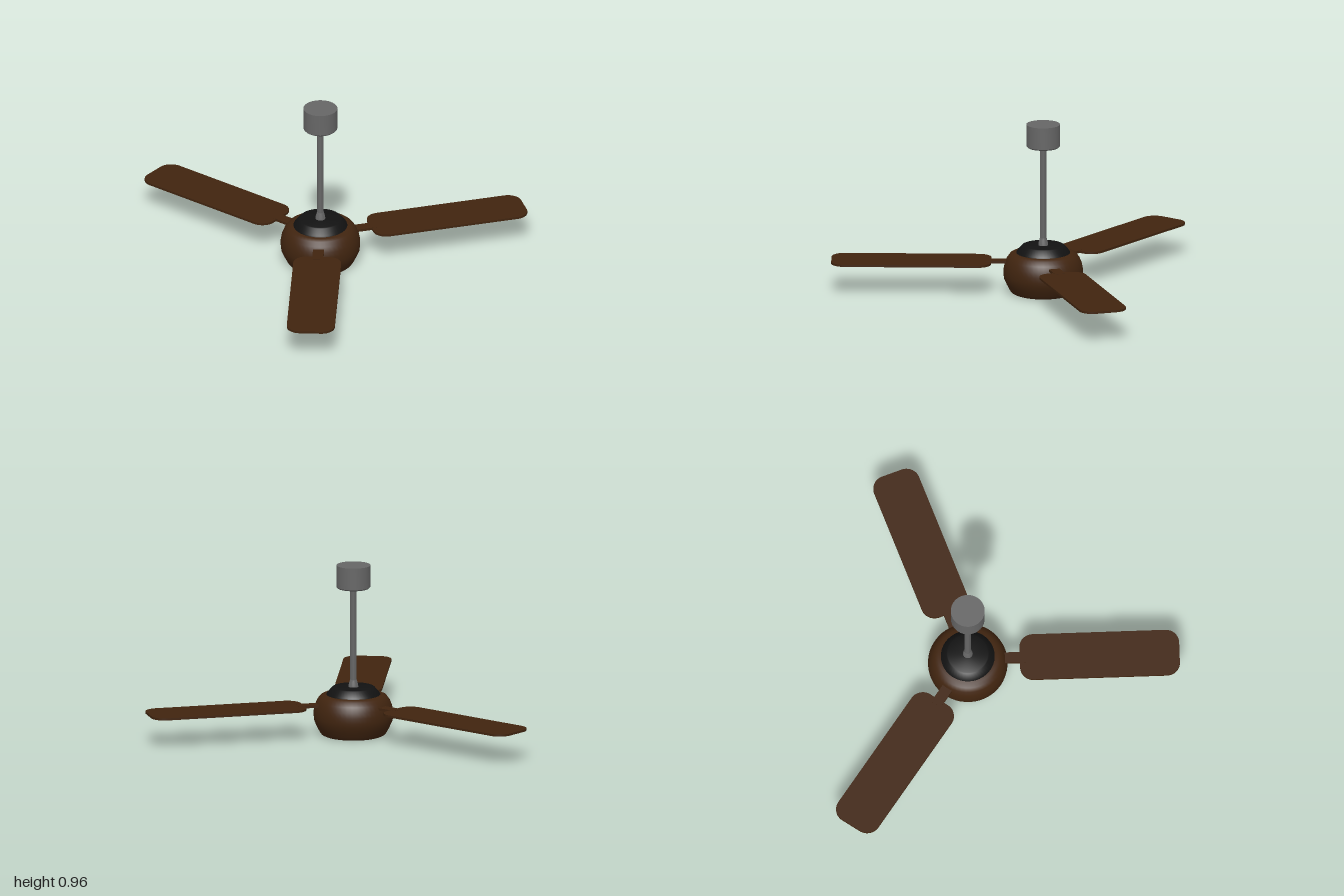
import * as THREE from 'three';
import { toCreasedNormals } from 'three/addons/utils/BufferGeometryUtils.js';

const HUB_Z = 0.203;
const BLADE_Y = 0.17;
const BLADE_THICKNESS = 0.012;

function material(name, color) {
  const m = new THREE.MeshStandardMaterial({ color });
  m.name = name;
  return m;
}

// Turned part from [radius, height] pairs, listed bottom to top
function turned(name, profile, mat, segments = 48) {
  const points = profile.map(([r, y]) => new THREE.Vector2(r, y));
  const geometry = toCreasedNormals(new THREE.LatheGeometry(points, segments), 0.6);
  const mesh = new THREE.Mesh(geometry, mat);
  mesh.name = name;
  return mesh;
}

// Flat rounded plank running along +x from inner to outer radius
function bladeGeometry(inner, outer, half, c) {
  const s = new THREE.Shape();
  s.moveTo(inner + c, -half);
  s.lineTo(outer - c, -half);
  s.absarc(outer - c, -half + c, c, -Math.PI / 2, 0);
  s.absarc(outer - c, half - c, c, 0, Math.PI / 2);
  s.absarc(inner + c, half - c, c, Math.PI / 2, Math.PI);
  s.absarc(inner + c, -half + c, c, Math.PI, Math.PI * 1.5);
  const g = new THREE.ExtrudeGeometry(s, { depth: BLADE_THICKNESS, bevelEnabled: false, curveSegments: 10 });
  g.rotateX(-Math.PI / 2);
  return toCreasedNormals(g, 0.6);
}

export function createModel() {
  const wood = material('dark brown', 0x40240f);
  const metal = material('grey metal', 0x666666);
  const black = material('black', 0x121212);

  const fan = new THREE.Group();
  fan.name = 'ceilingFan';
  fan.position.z = HUB_Z;

  // Motor housing and its black cap
  fan.add(turned('motorHousing', [
    [0, 0], [0.165, 0], [0.178, 0.006], [0.188, 0.02], [0.203, 0.05], [0.217, 0.08],
    [0.22, 0.105], [0.22, 0.135], [0.214, 0.165], [0.202, 0.195], [0.185, 0.218],
    [0.165, 0.228], [0, 0.228],
  ], wood));
  fan.add(turned('motorCap', [[0.15, 0.226], [0.147, 0.234], [0.118, 0.267], [0.112, 0.27], [0, 0.27]], black));

  // Collar, rod and ceiling canopy
  fan.add(turned('rodCollar', [[0.028, 0.268], [0.026, 0.285], [0.019, 0.31], [0, 0.31]], metal, 24));
  fan.add(turned('downRod', [[0.018, 0.26], [0.018, 0.84]], metal, 24));
  fan.add(turned('ceilingCanopy', [
    [0, 0.83], [0.087, 0.83], [0.094, 0.837], [0.094, 0.96], [0, 0.96],
  ], metal));

  // Three blades, each on a short flat arm
  const plank = bladeGeometry(0.288, 1.173, 0.133, 0.075);
  const arm = new THREE.BoxGeometry(0.2, 0.014, 0.062);
  for (const degrees of [90, -35.5, 215.5]) {
    const group = new THREE.Group();
    group.name = 'bladeAssembly';
    group.rotation.y = THREE.MathUtils.degToRad(degrees);
    const blade = new THREE.Mesh(plank, wood);
    blade.name = 'blade';
    blade.position.y = BLADE_Y;
    const bracket = new THREE.Mesh(arm, wood);
    bracket.name = 'bladeArm';
    bracket.position.set(0.22, BLADE_Y + BLADE_THICKNESS / 2, 0);
    group.add(blade, bracket);
    fan.add(group);
  }

  const model = new THREE.Group();
  model.name = 'model';
  model.add(fan);
  return model;
}
